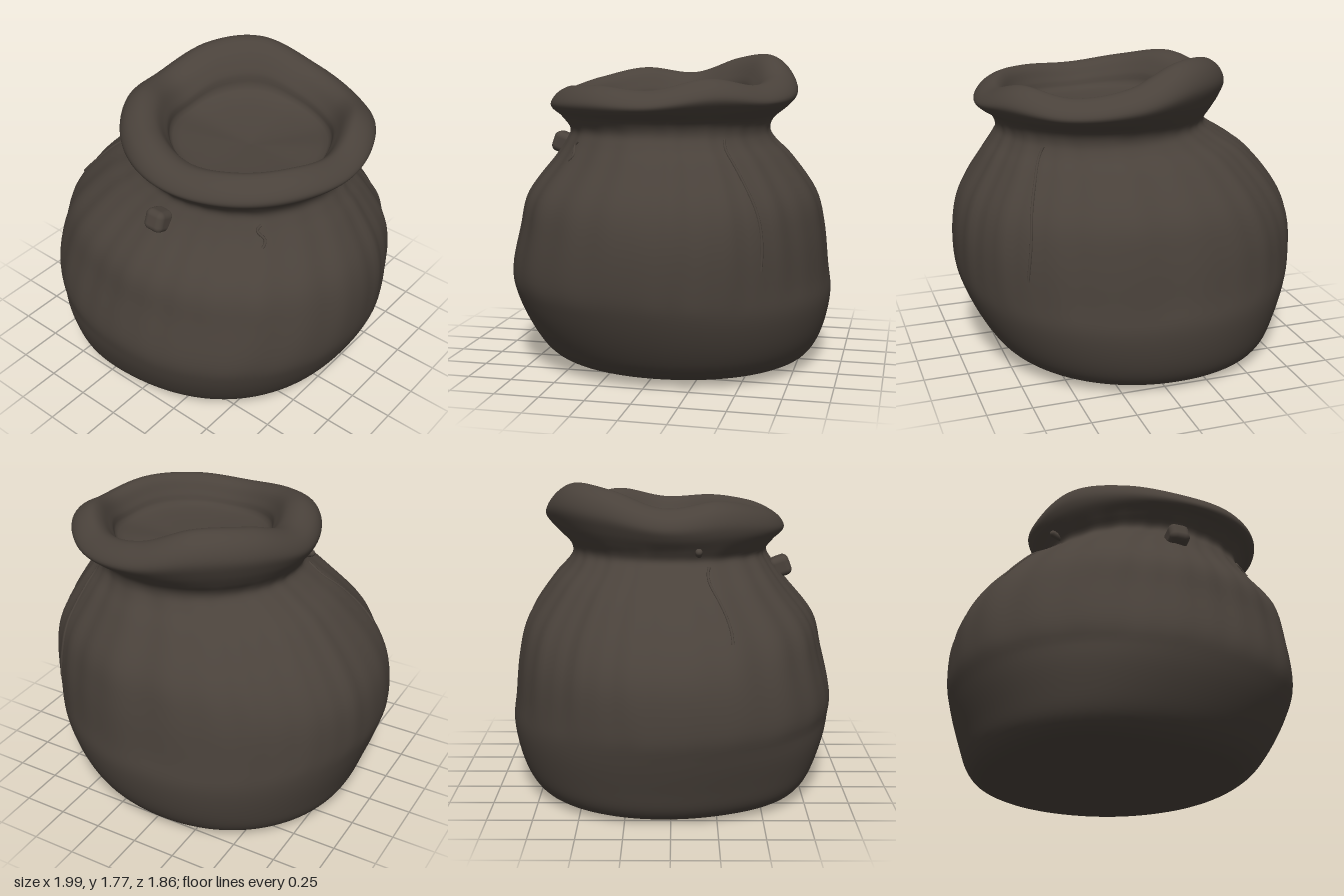
import * as THREE from 'three';
import { RoundedBoxGeometry } from 'three/addons/geometries/RoundedBoxGeometry.js';

const cloth = new THREE.MeshStandardMaterial({ color: 0x4a423b });
cloth.name = 'dark brown cloth';

// Cross-sections from the base, up over the lip and down into the mouth:
// y, min x, max x, min z, max z
const SECTIONS = [
  [0.01, -0.1, -0.1, -0.03, -0.03],
  [0.006, -0.65, 0.44, -0.60, 0.53],
  [0.025, -0.78, 0.62, -0.75, 0.66],
  [0.09, -0.85, 0.75, -0.83, 0.75],
  [0.22, -0.90, 0.85, -0.89, 0.83],
  [0.40, -0.96, 0.94, -0.925, 0.905],
  [0.56, -0.995, 0.985, -0.91, 0.93],
  [0.80, -0.975, 0.99, -0.885, 0.875],
  [1.00, -0.875, 0.945, -0.835, 0.82],
  [1.20, -0.70, 0.83, -0.70, 0.66],
  [1.30, -0.55, 0.76, -0.61, 0.585],
  [1.365, -0.465, 0.73, -0.58, 0.555],
  [1.43, -0.485, 0.755, -0.605, 0.60],
  [1.495, -0.535, 0.825, -0.69, 0.655],
  [1.55, -0.555, 0.85, -0.735, 0.655],
  [1.61, -0.52, 0.81, -0.70, 0.615],
  [1.645, -0.44, 0.74, -0.625, 0.545],
  [1.62, -0.35, 0.69, -0.55, 0.48],
  [1.54, -0.28, 0.64, -0.48, 0.43],
  [1.46, -0.22, 0.57, -0.42, 0.36],
  [1.43, 0.18, 0.18, -0.03, -0.03],
];
const BASE = 2.5, SHOULDER = 9, CREST = 16;

// Height of the lip every 30 degrees, from +x towards the front
const LIP = [1.60, 1.62, 1.61, 1.595, 1.64, 1.69, 1.66, 1.75, 1.77, 1.665, 1.62, 1.66];

function spline(a, b, c, d, t) {
  return b + 0.5 * t * (c - a + t * (2 * a - 5 * b + 4 * c - d + t * (3 * (b - c) + d - a)));
}

function lipHeight(angle) {
  const n = LIP.length, f = (angle / (2 * Math.PI)) * n, i = Math.floor(f);
  const at = (k) => LIP[(i + k + n) % n];
  return spline(at(-1), at(0), at(1), at(2), f - i);
}

function sectionAt(f) {
  const last = SECTIONS.length - 1;
  const i = Math.min(Math.floor(f), last - 1);
  const at = (k) => SECTIONS[Math.min(last, Math.max(0, i + k))];
  return SECTIONS[0].map((_, c) => spline(at(-1)[c], at(0)[c], at(1)[c], at(2)[c], f - i));
}

// Gathered cloth: uneven ridges around the bag
function folds(a) {
  return 0.006 * Math.sin(9 * a + 1) + 0.006 * Math.sin(17 * a + 2 * Math.sin(2 * a))
    + 0.006 * Math.sin(29 * a + 3 * Math.cos(3 * a));
}

// Strength of an effect that fades out around one section
function fade(f, centre, rate) {
  return Math.cos(Math.min(Math.PI / 2, Math.abs(f - centre) * rate));
}

function surfacePoint(f, angle) {
  const [y, x0, x1, z0, z1] = sectionAt(f);
  const power = 1 - 0.05 * fade(f, 4, 0.3);
  const c = Math.cos(angle), s = Math.sin(angle);
  // The cloth sags outwards in one corner of the base
  const sag = 0.08 * Math.max(0, Math.cos(angle - 2.1)) ** 8;
  const r = 1 + fade(f, SHOULDER, 0.45) * (folds(angle) - 0.003) + fade(f, BASE, 0.55) * sag;
  return new THREE.Vector3(
    (x0 + x1) / 2 + ((x1 - x0) / 2) * r * Math.sign(c) * Math.abs(c) ** power,
    y + fade(f, CREST, 0.42) * (lipHeight(angle) - 1.645),
    (z0 + z1) / 2 + ((z1 - z0) / 2) * r * Math.sign(s) * Math.abs(s) ** power);
}

function sackGeometry() {
  const around = 144, rows = (SECTIONS.length - 1) * 5;
  const positions = [], index = [];
  for (let i = 0; i <= rows; i++) {
    for (let j = 0; j < around; j++) {
      const p = surfacePoint(i / 5, (j / around) * 2 * Math.PI);
      positions.push(p.x, p.y, p.z);
      if (i === rows) continue;
      const a = i * around + j, b = i * around + ((j + 1) % around);
      index.push(a, a + around, b, b, a + around, b + around);
    }
  }
  const g = new THREE.BufferGeometry();
  g.setAttribute('position', new THREE.Float32BufferAttribute(positions, 3));
  g.setIndex(index);
  g.computeVertexNormals();
  return g;
}

export function createModel() {
  const group = new THREE.Group();
  const add = (name, geometry, x = 0, y = 0, z = 0) => {
    const mesh = new THREE.Mesh(geometry, cloth);
    mesh.name = name;
    mesh.position.set(x, y, z);
    group.add(mesh);
    return mesh;
  };

  add('sack', sackGeometry());

  // Cord tab hanging at the front of the neck
  const tab = add('frontTab', new RoundedBoxGeometry(0.12, 0.12, 0.12, 4, 0.035), 0.09, 1.26, 0.64);
  tab.rotation.x = -0.35;

  // Cord end poking out at the side of the neck
  const end = add('cordEnd', new THREE.CapsuleGeometry(0.02, 0.06, 6, 12), -0.455, 1.42, 0.15);
  end.rotation.z = 1.2;

  // Seams running down from the neck, half sunk into the cloth
  for (const [name, angle, from, to] of [
    ['frontSeam', 0.75, 9.1, 10.2],
    ['backSeam', 5.53, 6.5, 10.6],
    ['sideSeam', 2.75, 8, 10.6],
  ]) {
    const points = [];
    for (let i = 0; i <= 10; i++) {
      points.push(surfacePoint(to + ((from - to) * i) / 10, angle + 0.03 * Math.sin(i * 0.6)));
    }
    add(name, new THREE.TubeGeometry(new THREE.CatmullRomCurve3(points), 40, 0.008, 8));
  }
  return group;
}
